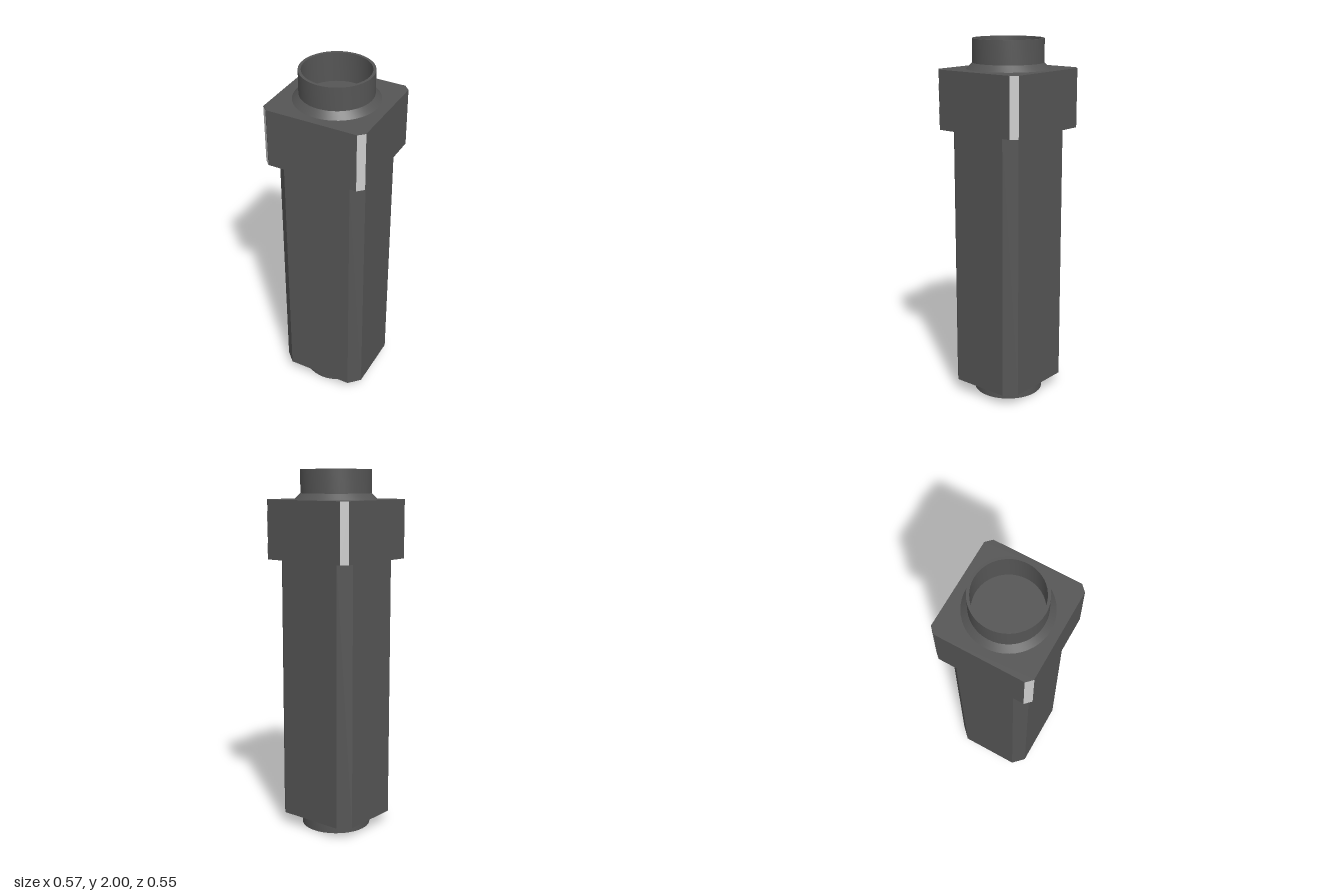
import * as THREE from 'three';
import { toCreasedNormals } from 'three/addons/utils/BufferGeometryUtils.js';

const dark = new THREE.MeshStandardMaterial({ color: 0x555555 });
dark.name = 'dark grey';
const light = new THREE.MeshStandardMaterial({ color: 0xcccccc });
light.name = 'light grey';

// Upright block with chamfered vertical corners
function chamferedBlock(name, hx, hz, c, y0, y1) {
  const shape = new THREE.Shape([
    [hx, -hz + c], [hx, hz - c], [hx - c, hz], [-hx + c, hz],
    [-hx, hz - c], [-hx, -hz + c], [-hx + c, -hz], [hx - c, -hz],
  ].map(([x, y]) => new THREE.Vector2(x, y)));
  const geometry = new THREE.ExtrudeGeometry(shape, { depth: y1 - y0, bevelEnabled: false });
  geometry.rotateX(-Math.PI / 2).translate(0, y0, 0);
  const mesh = new THREE.Mesh(geometry, dark);
  mesh.name = name;
  return mesh;
}

// Turned collar with sharp rims and smooth walls
function collar(name, profile) {
  const points = profile.map(([r, y]) => new THREE.Vector2(r, y));
  const mesh = new THREE.Mesh(toCreasedNormals(new THREE.LatheGeometry(points, 48), 0.4), dark);
  mesh.name = name;
  return mesh;
}

export function createModel() {
  const model = new THREE.Group();
  model.name = 'squarePost';

  // Long shaft and wider head
  const hx = 0.283, hz = 0.274, c = 0.033, y0 = 1.52, y1 = 1.84;
  model.add(chamferedBlock('shaft', 0.25, 0.226, 0.06, 0.07, y0));
  model.add(chamferedBlock('head', hx, hz, c, y0, y1));

  // Pale strips on the head's four corner chamfers
  for (const sx of [-1, 1]) {
    for (const sz of [-1, 1]) {
      const strip = new THREE.Mesh(new THREE.PlaneGeometry(c * Math.SQRT2, y1 - y0), light);
      strip.name = 'cornerStrip';
      strip.position.set(sx * (hx - c / 2 + 0.001), (y0 + y1) / 2, sz * (hz - c / 2 + 0.001));
      strip.rotation.y = Math.atan2(sx, sz);
      model.add(strip);
    }
  }

  // Hollow collars, closed inside by the block ends
  model.add(collar('topCollar', [[0.226, 1.84], [0.193, 1.873], [0.193, 2], [0.178, 2], [0.178, 1.84]]));
  model.add(collar('bottomCollar', [[0.178, 0.07], [0.178, 0], [0.193, 0], [0.193, 0.052], [0.21, 0.07]]));
  return model;
}
